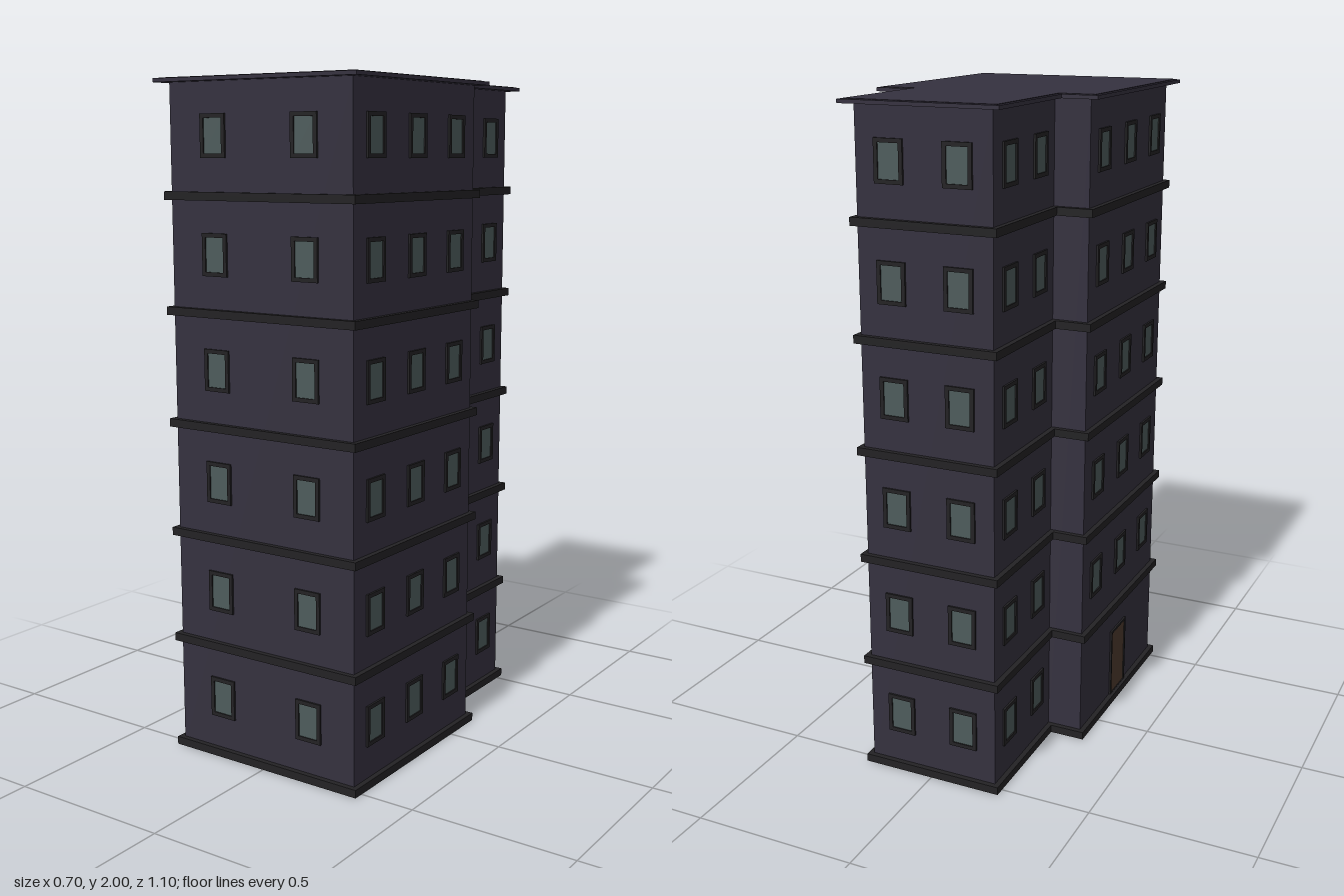
import * as THREE from 'three';

const FLOORS = 6, FLOOR_H = 0.331, ROOF_Y = 1.987;

const paint = (color, side = THREE.FrontSide) => {
  const m = new THREE.MeshStandardMaterial({ side });
  m.color.set(color);
  return m;
};

// T-shaped footprint grown by d, counter-clockwise, with y = -z
function footprint(d) {
  const w = 0.315 + d, n = 0.206 + d, front = -0.515 - d, step = 0.118 + d, back = 0.515 + d;
  return [[-w, front], [w, front], [w, step], [n, step], [n, back], [-n, back], [-n, step], [-w, step]]
    .map(([x, y]) => new THREE.Vector2(x, y));
}

// Flat slab of the footprint, optionally hollow
function slab(outer, inner, y, height) {
  const shape = new THREE.Shape(footprint(outer));
  if (inner !== null) shape.holes.push(new THREE.Path(footprint(inner)));
  const g = new THREE.ExtrudeGeometry(shape, { depth: height, bevelEnabled: false });
  return g.rotateX(-Math.PI / 2).translate(0, y, 0);
}

// Rectangular frame centred on the wall plane
function frameGeometry(w, h, t, depth) {
  const rect = (S, a, b) => new S([[-a, -b], [a, -b], [a, b], [-a, b]].map(([x, y]) => new THREE.Vector2(x, y)));
  const shape = rect(THREE.Shape, w / 2, h / 2);
  shape.holes.push(rect(THREE.Path, w / 2 - t, h / 2 - t));
  return new THREE.ExtrudeGeometry(shape, { depth, bevelEnabled: false }).translate(0, 0, -depth / 2);
}

export function createModel() {
  const model = new THREE.Group();
  model.name = 'towerBlock';
  const wallMat = paint(0x35313f, THREE.DoubleSide), trimMat = paint(0x232224);
  const glassMat = paint(0x4e5c5c), doorMat = paint(0x4e3a2e);

  const add = (parent, name, geometry, material, x = 0, y = 0) => {
    const mesh = new THREE.Mesh(geometry, material);
    mesh.name = name;
    mesh.position.set(x, y, 0);
    parent.add(mesh);
  };

  const windowFrame = frameGeometry(0.088, 0.122, 0.012, 0.012);
  const pane = new THREE.BoxGeometry(0.066, 0.1, 0.005);
  const doorFrame = frameGeometry(0.128, 0.235, 0.008, 0.012);
  const doorPanel = new THREE.BoxGeometry(0.114, 0.222, 0.006);

  // Walls, each with its own row of evenly spaced windows per floor
  const corners = footprint(0);
  const windowsPerWall = [2, 3, 0, 2, 2, 2, 0, 3];
  const doorWall = 7;
  corners.forEach((a, i) => {
    const b = corners[(i + 1) % corners.length];
    const length = a.distanceTo(b);
    const side = new THREE.Group();
    side.name = 'facade';
    side.position.set((a.x + b.x) / 2, 0, -(a.y + b.y) / 2);
    side.rotation.y = Math.atan2(b.y - a.y, b.x - a.x);
    model.add(side);
    add(side, 'wall', new THREE.PlaneGeometry(length, ROOF_Y), wallMat, 0, ROOF_Y / 2);

    for (let f = 0; f < FLOORS; f++) {
      if (i === doorWall && f === 0) {
        add(side, 'doorFrame', doorFrame, trimMat, 0, 0.135);
        add(side, 'door', doorPanel, doorMat, 0, 0.135);
        continue;
      }
      const count = windowsPerWall[i];
      for (let k = 0; k < count; k++) {
        const x = length * ((k + 0.5) / count - 0.5), y = 0.183 + f * FLOOR_H;
        add(side, 'windowFrame', windowFrame, trimMat, x, y);
        add(side, 'windowPane', pane, glassMat, x, y);
      }
    }
  });

  // Ledge around the foot of every floor
  for (let f = 0; f < FLOORS; f++) {
    add(model, 'floorLedge', slab(0.016, -0.014, f * FLOOR_H + (f ? 0.004 : 0), 0.024), trimMat);
  }

  // Overhanging roof with a slightly raised inner deck
  add(model, 'roofEave', slab(0.033, null, ROOF_Y, 0.011), wallMat);
  add(model, 'roofDeck', slab(0.021, null, ROOF_Y + 0.005, 0.008), wallMat);
  return model;
}
